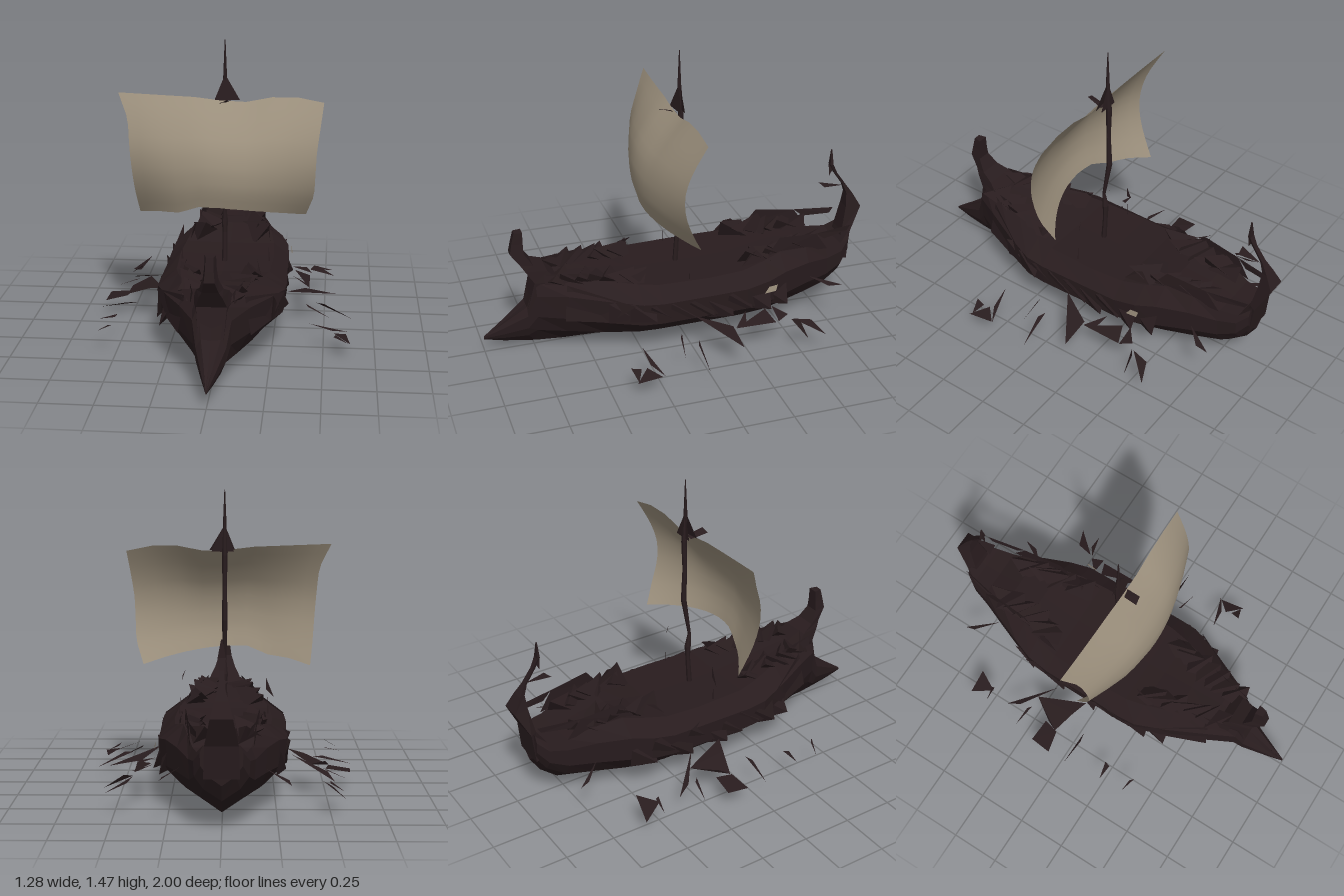
import * as THREE from 'three';

export function createModel() {
  const root = new THREE.Group();
  const wood = new THREE.MeshStandardMaterial({ color: 0x281c1e, side: THREE.DoubleSide });
  wood.name = 'dark wood';
  const cloth = new THREE.MeshStandardMaterial({ color: 0x9b8f7c, side: THREE.DoubleSide });
  cloth.name = 'sail cloth';

  let seed = 7;
  const rand = () => ((seed = (seed * 16807) % 2147483647) / 2147483647);
  const jitter = (s) => (rand() - 0.5) * 2 * s;

  const add = (name, geo, mat = wood) => {
    const m = new THREE.Mesh(geo, mat);
    m.name = name;
    root.add(m);
  };
  const faceted = (geo) => {
    const g = geo.index ? geo.toNonIndexed() : geo;
    g.computeVertexNormals();
    return g;
  };
  const build = (pos, idx) => {
    const g = new THREE.BufferGeometry();
    g.setAttribute('position', new THREE.Float32BufferAttribute(pos, 3));
    g.setIndex(idx);
    return g;
  };
  // skin closed rings of [x, y, z] points, listed from front to back, with capped ends
  const loft = (rings) => {
    const n = rings[0].length, pos = [], idx = [];
    rings.forEach((r) => r.forEach((p) => pos.push(...p)));
    for (let i = 0; i < rings.length - 1; i++)
      for (let j = 0; j < n; j++) {
        const a = i * n + j, b = i * n + (j + 1) % n, d = a + n, c = b + n;
        idx.push(a, d, b, d, c, b);
      }
    const last = (rings.length - 1) * n;
    for (let j = 1; j < n - 1; j++) {
      idx.push(0, j, j + 1);
      idx.push(last, last + j + 1, last + j);
    }
    return faceted(build(pos, idx));
  };

  // hull stations: z, half width, keel y, rail y, rail half width
  const stations = [
    [1.0, 0.004, 0.07, 0.085, 0.003],
    [0.9, 0.035, 0.045, 0.155, 0.02],
    [0.785, 0.07, 0.025, 0.24, 0.045],
    [0.74, 0.09, 0.018, 0.38, 0.06],
    [0.6, 0.165, 0.006, 0.4, 0.1],
    [0.42, 0.25, 0, 0.385, 0.16],
    [0.26, 0.31, 0, 0.365, 0.21],
    [0.16, 0.315, 0, 0.355, 0.23],
    [-0.1, 0.31, 0, 0.355, 0.24],
    [-0.28, 0.31, 0, 0.36, 0.23],
    [-0.4, 0.3, 0, 0.385, 0.21],
    [-0.5, 0.265, 0.005, 0.405, 0.18],
    [-0.65, 0.205, 0.03, 0.395, 0.16],
    [-0.78, 0.15, 0.065, 0.36, 0.13],
    [-0.87, 0.125, 0.14, 0.36, 0.11],
    [-0.92, 0.095, 0.22, 0.4, 0.08],
  ];
  add('hull', loft(stations.map(([z, w, k, t, tw]) => {
    const h = t - k;
    const half = [[w * 0.65, k + h * 0.25], [w * 0.97, k + h * 0.5], [w, k + h * 0.82], [tw, t]];
    return [[0, k], ...half, [0, t - 0.005], ...half.reverse().map(([x, y]) => [-x, y])]
      .map(([x, y]) => [x, y, z]);
  })));

  // posts: side outline stations of y, front z, back z, half width
  const post = (name, rows) => add(name, loft(rows.map(([y, zf, zb, w]) =>
    [[-w, y, zb], [w, y, zb], [w * 0.7, y, zf], [-w * 0.7, y, zf]])));
  post('bowPost', [
    [0.22, 0.785, 0.66, 0.08], [0.38, 0.745, 0.62, 0.1], [0.44, 0.785, 0.68, 0.075],
    [0.47, 0.805, 0.745, 0.055], [0.53, 0.85, 0.785, 0.035], [0.58, 0.84, 0.785, 0.028],
    [0.64, 0.825, 0.785, 0.025]]);
  post('sternPost', [
    [0.25, -0.86, -0.92, 0.08], [0.4, -0.9, -0.935, 0.075], [0.53, -0.925, -1.0, 0.05],
    [0.6, -0.93, -0.96, 0.03], [0.65, -0.91, -0.925, 0.015], [0.72, -0.86, -0.875, 0.012],
    [0.77, -0.835, -0.85, 0.018], [0.85, -0.84, -0.845, 0.003]]);

  // thin flat pieces given as corner lists
  const plate = (name, pts, mat = wood) => {
    const idx = [];
    for (let i = 1; i < pts.length - 1; i++) idx.push(0, i, i + 1);
    add(name, faceted(build(pts.flat(), idx)), mat);
  };
  plate('sternCurl', [[-0.03, 0.66, -0.79], [0.03, 0.655, -0.8], [0.01, 0.645, -0.91]]);
  plate('sternFin', [[0, 0.75, -0.86], [0, 0.77, -0.83], [0, 0.7, -0.835]]);
  // scrap of cloth hung on the left side
  plate('sideCloth', [[0.322, 0.262, -0.365], [0.322, 0.268, -0.425],
    [0.318, 0.3, -0.435], [0.318, 0.295, -0.39]], cloth);
  // stray rigging beside the mast
  plate('rightRigging', [[-0.25, 0.44, 0], [-0.21, 0.48, 0], [-0.21, 0.54, 0]]);
  plate('rightRiggingFoot', [[-0.225, 0.35, 0], [-0.215, 0.35, 0], [-0.22, 0.44, 0]]);
  plate('leftRigging', [[0.19, 0.58, 0], [0.21, 0.52, 0], [0.205, 0.55, 0]]);
  plate('leftRiggingFoot', [[0.215, 0.35, 0], [0.225, 0.35, 0], [0.215, 0.44, 0]]);

  // broken oars and blades, as [x, z] corners sloping down away from the hull
  const blades = [
    [[-0.57, -0.61], [-0.46, -0.6], [-0.51, -0.5]], [[-0.57, -0.51], [-0.5, -0.5], [-0.5, -0.515]],
    [[-0.53, -0.4], [-0.5, -0.33], [-0.33, -0.2]], [[-0.6, -0.3], [-0.48, -0.27], [-0.5, -0.29]],
    [[-0.62, -0.18], [-0.5, -0.17], [-0.52, -0.09], [-0.63, -0.07]],
    [[-0.42, -0.27], [-0.32, -0.03], [-0.4, -0.06], [-0.52, -0.1], [-0.5, -0.15]],
    [[-0.64, 0.03], [-0.45, 0.04], [-0.5, 0.05]], [[-0.61, 0.24], [-0.52, 0.22], [-0.53, 0.25]],
    [[-0.6, 0.37], [-0.52, 0.4], [-0.54, 0.38]], [[-0.31, -0.81], [-0.2, -0.66], [-0.3, -0.76]],
    [[0.54, -0.61], [0.44, -0.57], [0.42, -0.48]], [[0.55, -0.51], [0.42, -0.47], [0.46, -0.5]],
    [[0.33, -0.4], [0.43, -0.4], [0.4, -0.46]], [[0.42, -0.39], [0.42, -0.18], [0.34, -0.36]],
    [[0.33, -0.26], [0.42, -0.18], [0.4, -0.24]], [[0.56, -0.17], [0.4, -0.17], [0.31, 0.0]],
    [[0.64, 0.03], [0.46, 0.03], [0.5, 0.045]], [[0.62, 0.25], [0.43, 0.31], [0.54, 0.3]],
    [[0.61, 0.26], [0.55, 0.32], [0.63, 0.39]], [[0.62, 0.38], [0.56, 0.35], [0.55, 0.4]],
    [[0.53, 0.12], [0.41, 0.1], [0.42, 0.11]], [[0.28, -0.81], [0.19, -0.66], [0.27, -0.74]],
  ];
  blades.forEach((b) => plate('oarBlade', b.map(([x, z]) => {
    const out = Math.abs(x) - 0.3;
    return [x, 0.2 - out * 0.36 + jitter(out > 0.15 ? 0.025 : 0.01), z];
  })));

  // jagged angular gear on the raised ends and shields along the sides
  const shard = (name, x, y, z, sx, sy, sz, turn) => {
    const g = new THREE.TetrahedronGeometry(1.5, 0);
    g.scale(sx, sy, sz);
    g.rotateZ(jitter(turn));
    g.rotateY(jitter(turn));
    g.translate(x, y, z);
    add(name, faceted(g));
  };
  for (const s of [-1, 1]) {
    for (let i = 0; i < 7; i++) {
      const t = i / 6;
      shard('bowGear', s * (0.15 - t * 0.07), 0.375 + t * 0.015, 0.27 + t * 0.36, 0.06, 0.045, 0.07, 0.5);
      shard('sternGear', s * (0.15 - t * 0.05), 0.395 + jitter(0.012), -0.36 - t * 0.32, 0.06, 0.05, 0.08, 0.5);
    }
    for (let i = 0; i < 9; i++) {
      const z = 0.36 - i * 0.1;
      const x = s * (z > 0.3 ? 0.26 : z < -0.36 ? 0.27 : 0.295);
      shard('sideShield', x, 0.23 + jitter(0.03), z, 0.02, 0.06, 0.075, 0.2);
    }
    plate('bowRail', [[s * 0.2, 0.35, 0.26], [s * 0.17, 0.43, 0.19], [s * 0.18, 0.41, 0.25], [s * 0.16, 0.37, 0.36]]);
    plate('bowRail', [[s * 0.15, 0.37, 0.42], [s * 0.13, 0.425, 0.5], [s * 0.09, 0.43, 0.7], [s * 0.1, 0.38, 0.7]]);
    plate('bowWing', [[s * 0.25, 0.2, 0.42], [s * 0.31, 0.3, 0.3], [s * 0.14, 0.38, 0.6], [s * 0.17, 0.2, 0.62]]);
    plate('sternRail', [[s * 0.21, 0.37, -0.28], [s * 0.2, 0.43, -0.33], [s * 0.19, 0.44, -0.37], [s * 0.2, 0.38, -0.42]]);
    plate('sternRail', [[s * 0.18, 0.39, -0.43], [s * 0.17, 0.48, -0.5], [s * 0.15, 0.46, -0.71], [s * 0.14, 0.36, -0.78]]);
    plate('sternRail', [[s * 0.15, 0.46, -0.71], [s * 0.11, 0.46, -0.92], [s * 0.11, 0.43, -0.9], [s * 0.14, 0.42, -0.76]]);
  }

  // mast, slightly bent, tapering into a thin spike
  const mast = [[0.34, 0.0, 0.014], [0.5, -0.01, 0.012], [0.56, -0.01, 0.016], [0.63, 0.0, 0.008],
    [0.83, -0.033, 0.014], [1.0, -0.027, 0.011], [1.15, -0.03, 0.014], [1.3, -0.022, 0.009],
    [1.47, -0.022, 0.002]];
  add('mast', loft(mast.map(([y, z, r]) => [0, 1, 2, 3, 4, 5].map((i) => {
    const a = -i * Math.PI / 3;
    return [Math.cos(a) * r - 0.005, y, z - Math.sin(a) * r];
  }))));
  plate('mastheadFront', [[-0.055, 1.175, 0.01], [0.07, 1.175, -0.005], [-0.005, 1.3, -0.02]]);
  plate('mastheadBack', [[-0.05, 1.17, -0.03], [0.06, 1.17, -0.03], [-0.005, 1.3, -0.025]]);
  plate('mastheadBracket', [[-0.02, 1.16, 0.0], [0.02, 1.165, 0.0], [0.01, 1.19, 0.085], [-0.03, 1.175, 0.09]]);

  // billowing sail: u runs across, v runs up
  const lerp = (list, t) => {
    const k = Math.min(list.length - 2, Math.floor(t * (list.length - 1)));
    return THREE.MathUtils.lerp(list[k], list[k + 1], t * (list.length - 1) - k);
  };
  const leftEdge = [-0.43, -0.445, -0.455, -0.465, -0.475, -0.53];
  const rightEdge = [0.4, 0.44, 0.445, 0.45, 0.465, 0.48];
  const topEdge = [1.205, 1.2, 1.195, 1.19, 1.175, 1.17, 1.195, 1.195, 1.17];
  const bottomEdge = [0.6, 0.625, 0.635, 0.675, 0.675, 0.665, 0.65, 0.63, 0.605];
  const belly = [0.17, 0.2, 0.2, 0.17, 0.1, 0.01];
  const sail = new THREE.PlaneGeometry(1, 1, 16, 12);
  const p = sail.attributes.position;
  for (let i = 0; i < p.count; i++) {
    const u = p.getX(i) + 0.5, v = p.getY(i) + 0.5, c = 2 * u - 1;
    const edge = 0.1 * Math.sin(Math.PI * v);
    p.setXYZ(i,
      THREE.MathUtils.lerp(lerp(leftEdge, v), lerp(rightEdge, v), u),
      THREE.MathUtils.lerp(lerp(bottomEdge, u), lerp(topEdge, u), v),
      edge + (lerp(belly, v) - edge) * (1 - c * c));
  }
  sail.computeVertexNormals();
  add('sail', sail, cloth);

  return root;
}
